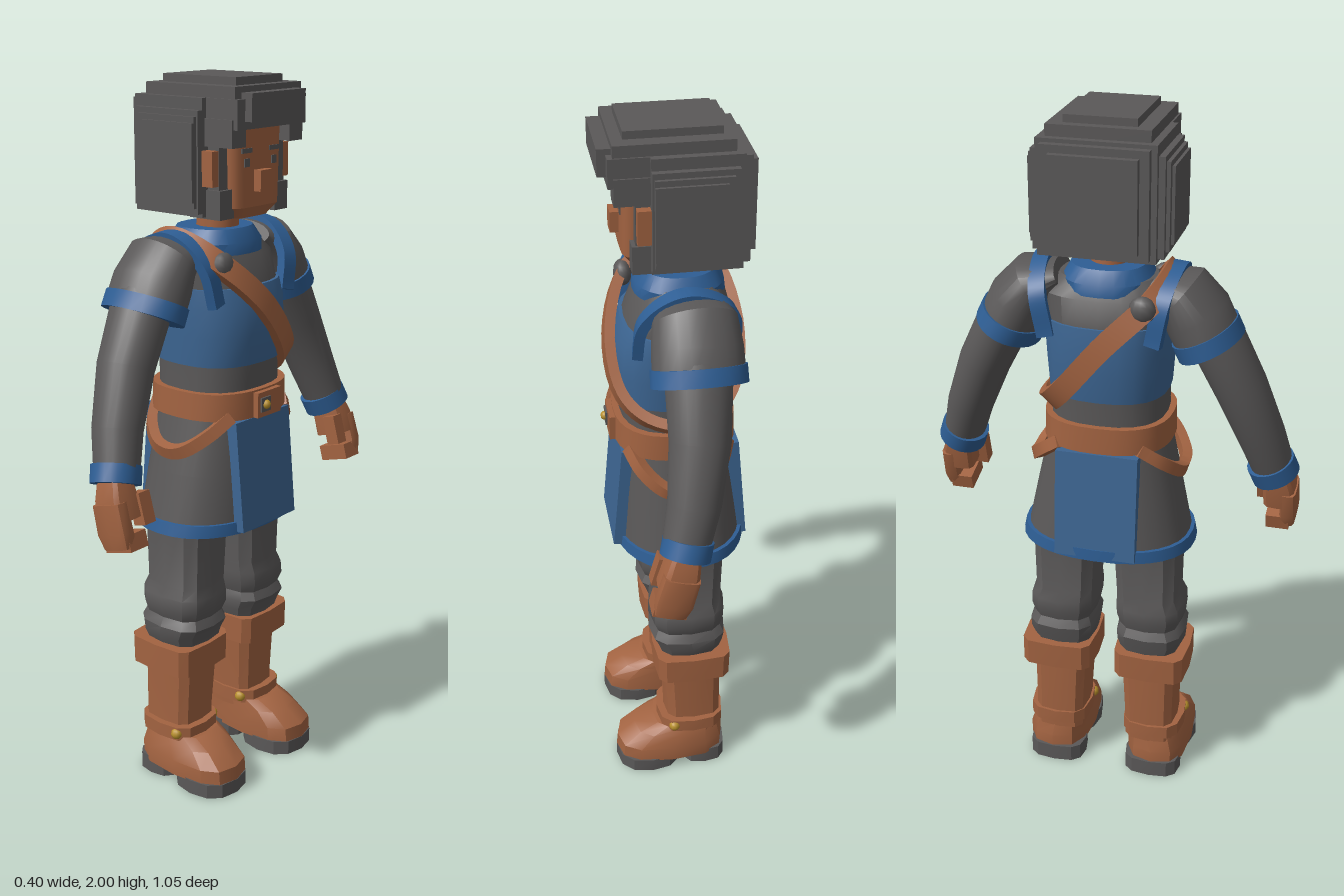
import * as THREE from 'three';
import { toCreasedNormals } from 'three/addons/utils/BufferGeometryUtils.js';

const V = (x, y, z) => new THREE.Vector3(x, y, z);

function meshGeometry(pos, idx, crease = 0.55) {
  const g = new THREE.BufferGeometry();
  g.setAttribute('position', new THREE.Float32BufferAttribute(pos, 3));
  g.setIndex(idx);
  return toCreasedNormals(g, crease);
}

// Capped skin over superellipse rings; rows run upward as [x, y, z, radiusX, radiusZ].
// With follow set, the rings tilt to stay square to the path.
function loft(rows, { n = 2, seg = 24, follow = false } = {}) {
  const pos = [], idx = [], p = rows.map(r => V(r[0], r[1], r[2])), last = rows.length - 1;
  const pow = c => Math.sign(c) * Math.abs(c) ** (2 / n);
  rows.forEach((r, i) => {
    const t = follow ? p[Math.min(i + 1, last)].clone().sub(p[Math.max(i - 1, 0)]).normalize() : V(0, 1, 0);
    const v = V(0, 0, 1).addScaledVector(t, -t.z).normalize();
    const u = t.clone().cross(v);
    for (let j = 0; j < seg; j++) {
      const a = j / seg * Math.PI * 2;
      const q = p[i].clone().addScaledVector(u, pow(Math.cos(a)) * r[3]).addScaledVector(v, pow(Math.sin(a)) * r[4]);
      pos.push(q.x, q.y, q.z);
    }
  });
  const base = rows.length * seg;
  pos.push(...p[0].toArray(), ...p[last].toArray());
  for (let j = 0; j < seg; j++) {
    const k = (j + 1) % seg;
    for (let i = 0; i < last; i++) {
      const a = i * seg + j, b = i * seg + k;
      idx.push(a, a + seg, b, b, a + seg, b + seg);
    }
    idx.push(base, j, k, base + 1, last * seg + k, last * seg + j);
  }
  return meshGeometry(pos, idx);
}

// Flat strap along a smooth curve, its face turned away from a centre point.
function strap(points, centre, width, thick, closed = false) {
  const curve = new THREE.CatmullRomCurve3(points.map(q => V(...q)), closed);
  const N = 48, rings = closed ? N : N + 1, pos = [], idx = [];
  for (let i = 0; i < rings; i++) {
    const p = curve.getPoint(i / N), t = curve.getTangent(i / N);
    const out = p.clone().sub(V(...centre));
    out.addScaledVector(t, -out.dot(t)).normalize();
    const w = t.clone().cross(out);
    for (const [a, b] of [[-1, -1], [1, -1], [1, 1], [-1, 1]]) {
      const q = p.clone().addScaledVector(w, a * width / 2).addScaledVector(out, b * thick / 2);
      pos.push(q.x, q.y, q.z);
    }
  }
  for (let i = 0; i < N; i++) for (let j = 0; j < 4; j++) {
    const k = (j + 1) % 4, m = (i + 1) % rings;
    const a = i * 4 + j, b = i * 4 + k, c = m * 4 + j, d = m * 4 + k;
    idx.push(a, c, b, b, c, d);
  }
  // Caps close the ends of an open strap
  if (!closed) idx.push(0, 1, 2, 0, 2, 3, N * 4, N * 4 + 2, N * 4 + 1, N * 4, N * 4 + 3, N * 4 + 2);
  // Turn the faces outward whichever way the strap runs
  const A = i => V(pos[i * 3], pos[i * 3 + 1], pos[i * 3 + 2]);
  const face = A(idx[1]).sub(A(idx[0])).cross(A(idx[2]).sub(A(idx[0])));
  const mid = A(0).add(A(1)).add(A(2)).add(A(3)).multiplyScalar(0.25);
  if (face.dot(A(idx[0]).add(A(idx[2])).multiplyScalar(0.5).sub(mid)) < 0) idx.reverse();
  return meshGeometry(pos, idx);
}

export function createModel() {
  const mat = (name, color) => Object.assign(new THREE.MeshStandardMaterial({ color }), { name });
  const grey = mat('charcoal cloth', 0x5a5858), skin = mat('skin and leather', 0xa26341);
  const blue = mat('blue cloth', 0x3d6693), trim = mat('blue trim', 0x2e5e94), gold = mat('gold', 0xb8902c);

  const root = new THREE.Group(), body = new THREE.Group();
  body.name = 'figure';
  root.add(body);
  const add = (name, geo, material, parent = body) => {
    const m = new THREE.Mesh(geo, material);
    m.name = name;
    parent.add(m);
    return m;
  };
  const box = (name, material, x0, x1, y0, y1, z0, z1, parent) => {
    const g = new THREE.BoxGeometry(Math.abs(x1 - x0), y1 - y0, z1 - z0);
    return add(name, g.translate((x0 + x1) / 2, (y0 + y1) / 2, (z0 + z1) / 2), material, parent);
  };

  // Head and face
  add('head', loft([[0, 1.64, 0.03, 0.07, 0.09], [0, 1.67, 0.025, 0.1, 0.115], [0, 1.92, 0.02, 0.11, 0.12]], { n: 6 }), skin);
  add('neck', loft([[0, 1.54, -0.01, 0.055, 0.06], [0, 1.68, 0, 0.055, 0.06]]), skin);
  box('nose', skin, -0.025, 0.025, 1.71, 1.765, 0.12, 0.162);

  // Stacked blocks of hair: half width, bottom, top, back, front
  for (const [w, y0, y1, z0, z1] of [
    [0.155, 1.65, 1.95, -0.155, 0.075], [0.14, 1.66, 1.94, -0.175, -0.1], [0.115, 1.68, 1.92, -0.193, -0.1],
    [0.172, 1.66, 1.92, -0.14, 0.075], [0.182, 1.675, 1.905, -0.125, 0.07], [0.19, 1.69, 1.89, -0.108, 0.07],
    [0.135, 1.9, 1.98, -0.135, 0.165], [0.095, 1.95, 2, -0.11, 0.135],
    [0.14, 1.875, 1.95, 0, 0.178], [0.11, 1.895, 1.965, 0.1, 0.2],
  ]) box('hairBlock', grey, -w, w, y0, y1, z0, z1);

  // Torso, breast band, collar
  add('tunic', loft([
    [0, 1.08, 0, 0.165, 0.15], [0, 1.2, 0, 0.16, 0.148], [0, 1.32, 0, 0.16, 0.152],
    [0, 1.45, -0.01, 0.168, 0.145], [0, 1.53, -0.02, 0.18, 0.118], [0, 1.575, -0.02, 0.13, 0.09],
  ], { n: 2.5 }), grey);
  add('breastBand', loft([
    [0, 1.25, 0, 0.165, 0.155], [0, 1.33, 0, 0.17, 0.164], [0, 1.41, -0.003, 0.174, 0.162], [0, 1.46, -0.01, 0.175, 0.15],
  ], { n: 2.5 }), blue);
  add('collar', loft([[0, 1.54, -0.015, 0.118, 0.122], [0, 1.57, -0.015, 0.122, 0.118], [0, 1.606, -0.015, 0.1, 0.095]], { n: 2.4 }), trim);

  // Skirt with hem and hanging panels
  add('skirt', loft([[0, 0.782, -0.01, 0.24, 0.18], [0, 0.95, -0.005, 0.205, 0.167], [0, 1.12, 0, 0.168, 0.152]], { n: 2.3, seg: 32 }), grey);
  add('skirtHem', loft([[0, 0.784, -0.01, 0.25, 0.188], [0, 0.818, -0.01, 0.243, 0.186]], { n: 2.3, seg: 32 }), trim);
  for (const f of [1, -1]) {
    const panel = box('skirtPanel', blue, -0.115, 0.115, -0.155, 0.155, -0.018, 0.018);
    panel.position.set(0, 0.945, f * 0.158 - 0.005);
    panel.rotation.x = -f * 0.09;
  }

  // Belt and buckle
  add('belt', loft([[0, 1.105, 0, 0.18, 0.168], [0, 1.18, 0, 0.178, 0.166]], { n: 2.5, seg: 32 }), skin);
  box('beltBuckle', skin, -0.05, 0.05, 1.105, 1.175, 0.15, 0.18);
  box('bucklePlate', grey, -0.04, 0, 1.12, 1.16, 0.178, 0.185);
  const beltStud = add('beltStud', new THREE.SphereGeometry(0.013, 10, 8), gold);
  beltStud.position.set(-0.02, 1.14, 0.184);

  // Sash over the right shoulder, round to the left hip
  add('sash', strap([
    [-0.175, 1.59, -0.02], [-0.14, 1.54, 0.1], [-0.02, 1.42, 0.168], [0.09, 1.285, 0.158], [0.142, 1.225, 0.1],
    [0.168, 1.2, 0], [0.142, 1.225, -0.1], [0.09, 1.285, -0.158], [-0.02, 1.42, -0.178], [-0.14, 1.54, -0.13],
  ], [0, 1.38, 0], 0.06, 0.028, true), skin);
  for (const z of [0.115, -0.15]) {
    const stud = add('sashStud', new THREE.SphereGeometry(0.036, 12, 8), grey);
    stud.scale.z = 0.7;
    stud.position.set(-0.12, 1.525, z);
  }

  for (const s of [-1, 1]) {
    const side = rows => rows.map(([x, ...rest]) => [x * s, ...rest]);

    // Ear, eye, brow, hair locks
    box('ear', skin, s * 0.11, s * 0.157, 1.73, 1.82, 0.07, 0.11);
    box('brow', grey, s * 0.036, s * 0.076, 1.81, 1.822, 0.137, 0.142);
    box('eye', grey, s * 0.046, s * 0.066, 1.775, 1.796, 0.137, 0.142);
    box('hairLock', grey, s * 0.09, s * 0.145, 1.83, 1.9, 0.06, 0.165);
    box('sideLock', grey, s * 0.088, s * 0.132, 1.7, 1.85, 0.06, 0.112);
    box('sideburn', grey, s * 0.085, s * 0.14, 1.645, 1.72, 0.02, 0.122);

    // Arm, sleeve, armhole trim
    add('arm', loft(side([
      [0.455, 1.02, 0.04, 0.058, 0.062], [0.42, 1.13, 0.012, 0.065, 0.07], [0.36, 1.28, -0.012, 0.072, 0.08],
      [0.29, 1.42, -0.02, 0.075, 0.087], [0.25, 1.49, -0.022, 0.07, 0.085],
    ]), { follow: true }), grey);
    add('cuff', loft(side([[0.462, 1.0, 0.042, 0.068, 0.067], [0.445, 1.045, 0.03, 0.068, 0.067]]), { follow: true }), trim);
    add('sleeve', loft(side([
      [0.272, 1.415, -0.025, 0.088, 0.12], [0.24, 1.48, -0.025, 0.09, 0.118],
      [0.2, 1.535, -0.025, 0.078, 0.11], [0.13, 1.565, -0.02, 0.035, 0.085],
    ]), { follow: true }), grey);
    add('sleeveHem', loft(side([[0.28, 1.398, -0.025, 0.094, 0.126], [0.26, 1.44, -0.025, 0.094, 0.125]]), { follow: true }), trim);
    add('armholeTrim', strap(side([
      [0.145, 1.42, 0.114], [0.167, 1.52, 0.1], [0.182, 1.585, 0.035], [0.182, 1.595, -0.03], [0.168, 1.54, -0.125], [0.145, 1.42, -0.134],
    ]), [s * 0.165, 1.42, -0.015], 0.044, 0.028), trim);

    // Curled hand
    const hand = new THREE.Group();
    hand.name = 'hand';
    hand.position.set(s * 0.465, 1.0, 0.045);
    hand.rotation.x = -0.27;
    body.add(hand);
    add('palm', loft(side([[0.01, -0.09, 0, 0.046, 0.05], [0.008, -0.03, 0, 0.046, 0.048], [0, 0.02, 0, 0.036, 0.04]]), { n: 4, seg: 12 }), skin, hand);
    add('fingers', loft(side([[0.03, -0.16, 0, 0.025, 0.044], [0.036, -0.12, 0, 0.025, 0.052], [0.034, -0.04, 0, 0.024, 0.05]]), { n: 4, seg: 12 }), skin, hand);
    box('fingertips', skin, s * -0.025, s * 0.04, -0.17, -0.125, -0.046, 0.046, hand);
    box('thumb', skin, s * -0.06, s * -0.02, -0.115, -0.03, 0.015, 0.055, hand);

    // Looped hip strap
    add('hipStrap', strap(side([
      [0.11, 1.115, 0.135], [0.165, 1.07, 0.105], [0.203, 1.027, 0.05], [0.208, 1.015, 0],
      [0.203, 1.027, -0.05], [0.165, 1.07, -0.105], [0.11, 1.115, -0.135],
    ]), [0, 1.08, 0], 0.034, 0.028), skin);

    // Trouser leg with gathered folds
    add('trouserLeg', loft(side([
      [0.13, 0.42, -0.025, 0.085, 0.09], [0.132, 0.46, -0.025, 0.1, 0.1], [0.132, 0.49, -0.02, 0.102, 0.112],
      [0.13, 0.515, -0.02, 0.09, 0.1], [0.13, 0.545, -0.018, 0.1, 0.11], [0.128, 0.58, -0.02, 0.1, 0.11],
      [0.122, 0.61, -0.02, 0.092, 0.1], [0.117, 0.85, -0.02, 0.1, 0.108],
    ]), { n: 3, seg: 12 }), grey);

    // Boot
    add('bootCuff', loft(side([[0.14, 0.355, -0.03, 0.108, 0.11], [0.14, 0.435, -0.03, 0.108, 0.112]]), { n: 5, seg: 12 }), skin);
    add('bootShaft', loft(side([
      [0.14, 0.12, -0.035, 0.078, 0.085], [0.138, 0.21, -0.035, 0.078, 0.085], [0.135, 0.37, -0.03, 0.084, 0.09],
    ]), { n: 3.5, seg: 12 }), skin);
    add('bootFoot', loft(side([
      [0.155, 0.04, 0.035, 0.094, 0.164], [0.155, 0.085, 0.033, 0.094, 0.162], [0.15, 0.125, 0.012, 0.085, 0.13],
      [0.145, 0.15, -0.015, 0.08, 0.1],
    ]), { n: 2.8, seg: 12 }), skin);
    add('ankleStrap', loft(side([[0.145, 0.14, -0.028, 0.091, 0.1], [0.145, 0.18, -0.028, 0.091, 0.1]]), { n: 3, seg: 12 }), skin);
    add('heel', loft(side([[0.15, 0, -0.065, 0.085, 0.068], [0.15, 0.05, -0.065, 0.085, 0.068]]), { n: 3, seg: 12 }), grey);
    add('sole', loft(side([[0.155, 0.003, 0.1, 0.094, 0.099], [0.155, 0.045, 0.1, 0.094, 0.099]]), { n: 2.4, seg: 12 }), grey);
    for (const x of [0.067, 0.223]) {
      const b = add('bootBuckle', new THREE.SphereGeometry(0.017, 10, 8), gold);
      b.position.set(s * x, 0.16, 0.028);
    }
  }

  // The figure faces +x
  body.rotation.y = Math.PI / 2;
  return root;
}
